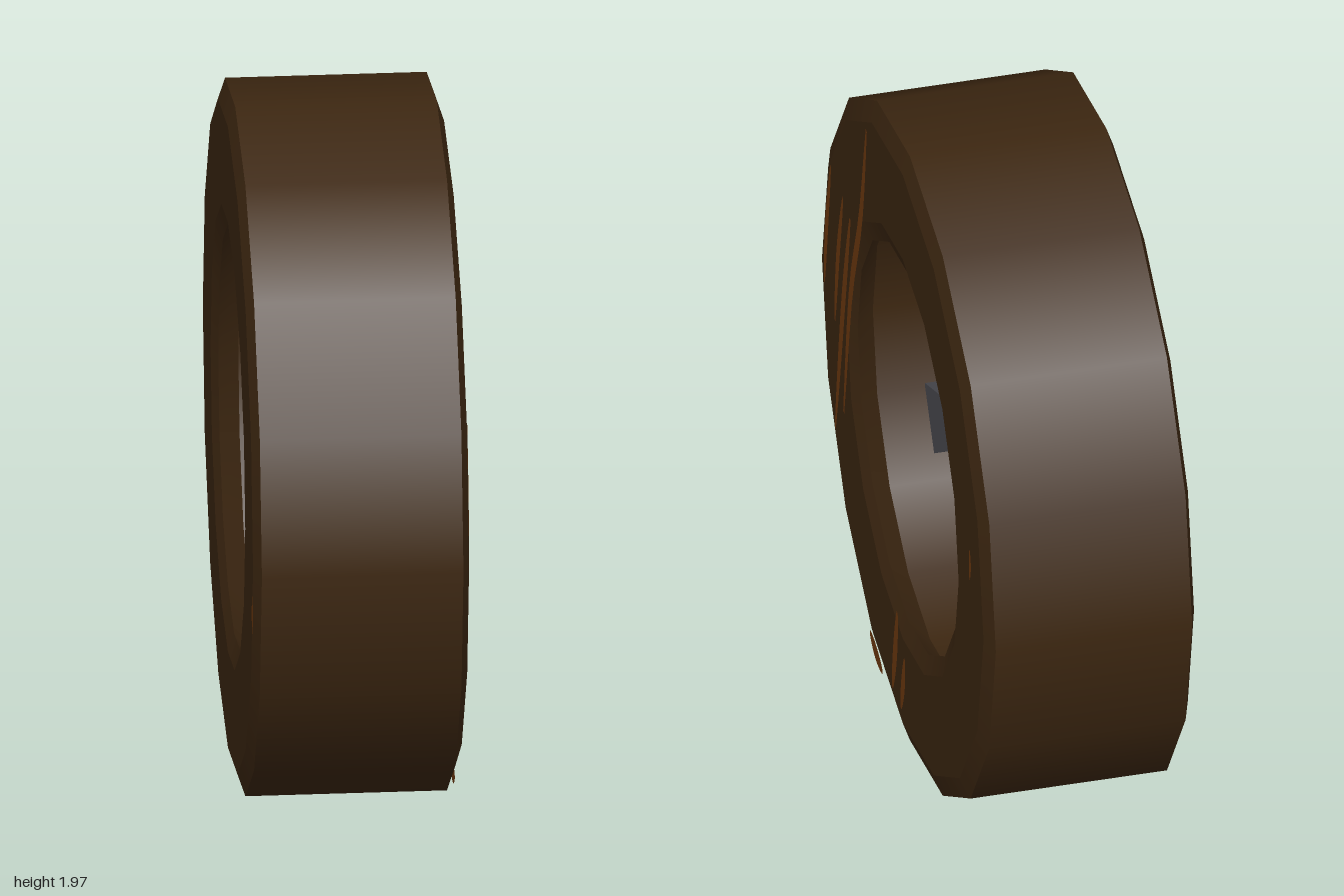
import * as THREE from 'three';
import { mergeGeometries } from 'three/addons/utils/BufferGeometryUtils.js';

const SIDES = 16, R = 0.985;

// Ring swept round local z; every profile segment gets its own crisp edge
function ring(profile, sides) {
  const bands = profile.map((p, i) => {
    const q = profile[(i + 1) % profile.length];
    return new THREE.LatheGeometry([new THREE.Vector2(...p), new THREE.Vector2(...q)], sides);
  });
  return mergeGeometries(bands).rotateX(Math.PI / 2);
}

// Tapered bar from the hub out into the rim groove
function spokeGeometry() {
  const r0 = 0.17, r1 = 0.665;
  const g = new THREE.BoxGeometry(1, 1, 1).toNonIndexed();
  const p = g.attributes.position;
  for (let i = 0; i < p.count; i++) {
    const outer = p.getY(i) > 0;
    p.setXYZ(i, p.getX(i) * (outer ? 0.2 : 0.085), outer ? r1 : r0, p.getZ(i) * (outer ? 0.17 : 0.145));
  }
  g.computeVertexNormals();
  return g;
}

// Flat worn streak, narrow at both ends, along a curve through the points
function streakGeometry(points, width) {
  const curve = new THREE.CatmullRomCurve3(points.map(([x, y]) => new THREE.Vector3(x, y, 0)));
  const left = [], right = [], n = 10;
  for (let i = 0; i <= n; i++) {
    const t = i / n, c = curve.getPoint(t), d = curve.getTangent(t);
    const w = width / 2 * Math.pow(Math.max(0, Math.sin(Math.PI * (0.04 + 0.92 * t))), 0.6);
    left.push(new THREE.Vector2(c.x - d.y * w, c.y + d.x * w));
    right.unshift(new THREE.Vector2(c.x + d.y * w, c.y - d.x * w));
  }
  return new THREE.ShapeGeometry(new THREE.Shape([...left, ...right]));
}

export function createModel() {
  const brown = new THREE.MeshStandardMaterial({ color: 0x3d2711 });
  brown.name = 'dark brown';
  const grey = new THREE.MeshStandardMaterial({ color: 0x4b4b51 });
  grey.name = 'slate grey';
  const rust = new THREE.MeshStandardMaterial({ color: 0x713b10, side: THREE.DoubleSide });
  rust.name = 'rust';

  const wheel = new THREE.Group();
  wheel.name = 'wheel';
  const add = (name, geometry, material) => {
    const m = new THREE.Mesh(geometry, material);
    m.name = name;
    wheel.add(m);
    return m;
  };

  // Tyre: tread, bevelled sidewalls and a groove inside the lips
  add('tyre', ring([
    [R, -0.277], [R, 0.277], [0.925, 0.297], [0.64, 0.297], [0.585, 0.28],
    [0.655, 0.22], [0.655, -0.22], [0.585, -0.28], [0.64, -0.297], [0.925, -0.297],
  ], SIDES), brown);

  // Hub with an open bore
  add('hub', ring([[0.2, -0.11], [0.2, 0.11], [0.117, 0.11], [0.117, -0.11]], SIDES), brown);

  // Six spokes
  const spoke = spokeGeometry();
  for (let i = 0; i < 6; i++) add('spoke', spoke, grey).rotation.z = i * Math.PI / 3;

  // Worn streaks on the sidewall
  const streaks = [
    [[[-0.41, 0.79], [-0.475, 0.45], [-0.585, 0.13], [-0.668, -0.34]], 0.042],
    [[[-0.596, 0.362], [-0.668, 0.05], [-0.764, -0.46]], 0.042],
    [[[-0.68, 0.373], [-0.735, 0.14], [-0.77, -0.1]], 0.036],
    [[[-0.819, 0.384], [-0.865, 0.15], [-0.89, -0.055]], 0.034],
    [[[-0.056, -0.59], [-0.08, -0.74], [-0.11, -0.88]], 0.045],
    [[[0.028, -0.69], [0.01, -0.79], [-0.013, -0.883]], 0.04],
    [[[-0.367, -0.872], [-0.3, -0.895], [-0.224, -0.91]], 0.05],
    [[[0.773, 0.2], [0.778, 0.15], [0.773, 0.1]], 0.02],
  ];
  for (const [points, width] of streaks) add('wornStreak', streakGeometry(points, width), rust).position.z = 0.299;
  add('wornSpot', streakGeometry([[-0.925, -0.08], [-0.927, -0.13], [-0.92, -0.19]], 0.045), rust).position.z = -0.299;

  // Worn arc on the inner lip
  const arc = new THREE.LatheGeometry(
    [new THREE.Vector2(0.605, 0.288), new THREE.Vector2(0.585, 0.282)], 2, Math.PI * 0.625, Math.PI * 0.25);
  add('wornLip', arc.rotateX(Math.PI / 2), rust);

  // Stand the wheel up and turn it on the vertical axis
  wheel.position.y = R;
  wheel.rotation.y = THREE.MathUtils.degToRad(117.05);
  const model = new THREE.Group();
  model.name = 'spokedWheel';
  model.add(wheel);
  return model;
}
